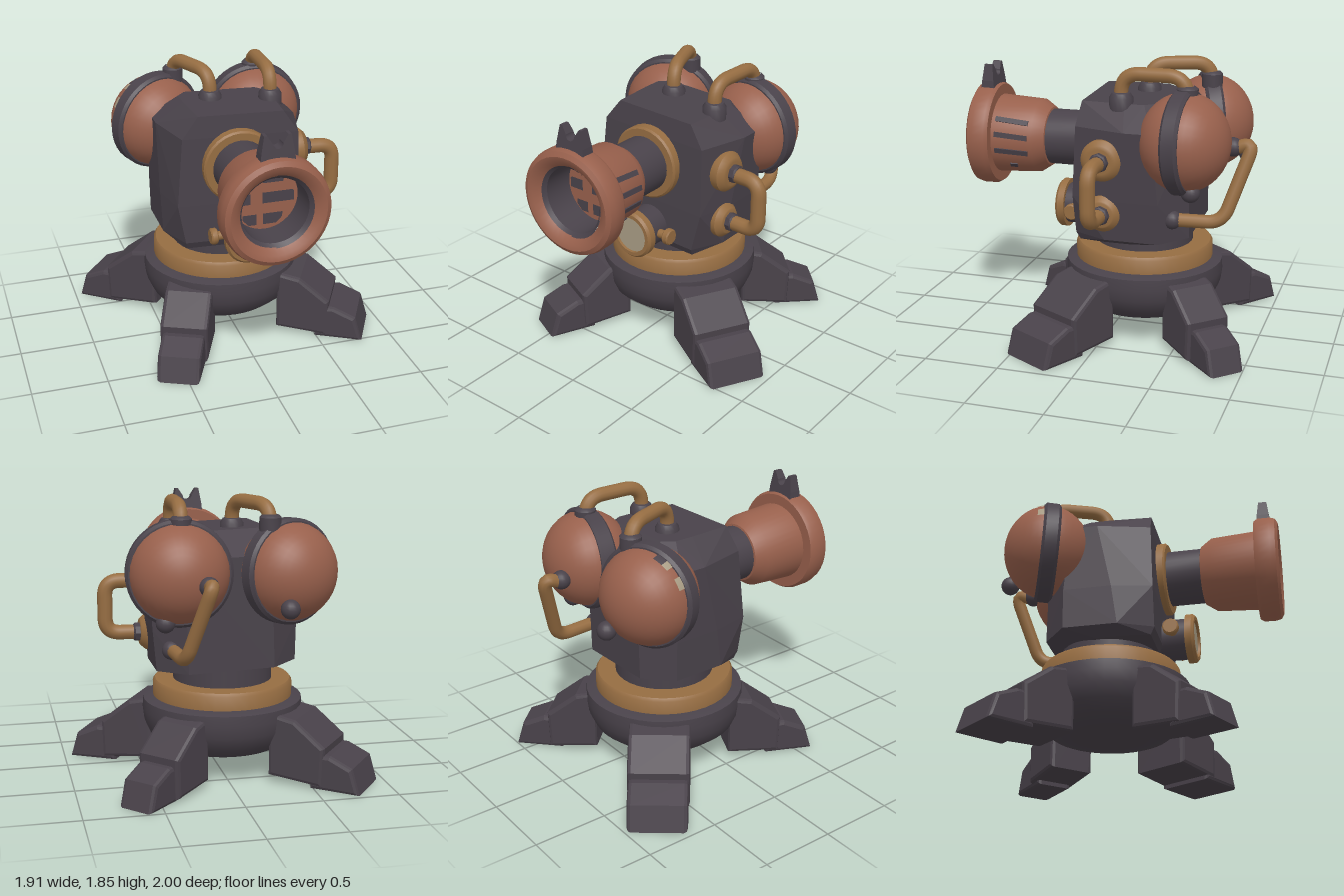
import * as THREE from 'three';
import { toCreasedNormals } from 'three/addons/utils/BufferGeometryUtils.js';
import { ConvexGeometry } from 'three/addons/geometries/ConvexGeometry.js';

const mat = (name, color) => {
  const m = new THREE.MeshStandardMaterial({ color });
  m.name = name;
  return m;
};

export function createModel() {
  const iron = mat('dark iron', 0x49424a);
  const copper = mat('copper', 0x98604c);
  const brass = mat('brass', 0x966d42);
  const cream = mat('cream', 0xa89c84);
  const model = new THREE.Group();
  model.name = 'diveCannonTurret';

  const add = (name, geo, material, pos = [0, 0, 0], parent = model) => {
    const mesh = new THREE.Mesh(geo, material);
    mesh.name = name;
    mesh.position.set(...pos);
    parent.add(mesh);
    return mesh;
  };
  // Turned part from [radius, height] pairs, optionally laid along x or z
  const turned = (pts, axis = 'y', seg = 32) => {
    const g = toCreasedNormals(new THREE.LatheGeometry(pts.map(p => new THREE.Vector2(...p)), seg), 0.7);
    if (axis === 'z') g.rotateX(Math.PI / 2);
    if (axis === 'x') g.rotateZ(-Math.PI / 2);
    return g;
  };
  const disc = (r, a, b, axis, bevel = 0.012, seg = 28) => turned(
    [[0, a], [r - bevel, a], [r, a + bevel], [r, b - bevel], [r - bevel, b], [0, b]], axis, seg);
  // Pipe through corner points with rounded bends
  const pipe = (name, pts, r = 0.045, bend = 0.09) => {
    const v = pts.map(p => new THREE.Vector3(...p));
    const path = new THREE.CurvePath();
    let from = v[0];
    for (let i = 1; i < v.length - 1; i++) {
      const toward = q => v[i].clone().add(q.clone().sub(v[i]).setLength(Math.min(bend, q.distanceTo(v[i]) * 0.48)));
      const a = toward(v[i - 1]), b = toward(v[i + 1]);
      path.add(new THREE.LineCurve3(from, a));
      path.add(new THREE.QuadraticBezierCurve3(a, v[i], b));
      from = b;
    }
    path.add(new THREE.LineCurve3(from, v[v.length - 1]));
    add(name, new THREE.TubeGeometry(path, 56, r, 12), brass);
  };

  // Base bowl, brass ring and neck
  const axis = [-0.035, 0, -0.18];
  add('base', turned([[0, 0.15], [0.25, 0.155], [0.4, 0.18], [0.485, 0.25], [0.525, 0.34], [0.535, 0.42], [0.53, 0.49], [0.46, 0.51], [0, 0.51]], 'y', 40), iron, axis);
  add('baseRing', turned([[0.3, 0.5], [0.465, 0.5], [0.465, 0.6], [0.45, 0.62], [0.3, 0.62]], 'y', 40), brass, axis);
  add('neck', new THREE.CylinderGeometry(0.33, 0.33, 0.18, 32), iron, [axis[0], 0.68, axis[2]]);

  // Legs: an upper block and a toe, each a bevelled side profile ending at x = 0
  const block = (pts, width) => {
    const b = 0.025;
    const g = new THREE.ExtrudeGeometry(new THREE.Shape(pts.map(p => new THREE.Vector2(...p))), {
      depth: width - 2 * b, bevelEnabled: true, bevelSize: b, bevelThickness: b, bevelOffset: -b, bevelSegments: 2 });
    return g.translate(0, 0, -width / 2 + b);
  };
  // [name, toe end x and z, direction x and z, toe width, upper width, inner reach]
  const legs = [
    ['frontLeftLeg', 0.867, 0.36, 0.875, 0.485, 0.395, 0.41, -0.6],
    ['frontRightLeg', -0.572, 0.663, -0.42, 0.907, 0.285, 0.32, -0.6],
    ['backRightLeg', -0.85, -0.838, -0.785, -0.62, 0.385, 0.4, -0.62],
    ['backLeftLeg', 0.674, -0.918, 0.72, -0.69, 0.25, 0.31, -0.58],
  ];
  for (const [name, ex, ez, dx, dz, toeW, upperW, inner] of legs) {
    const leg = new THREE.Group();
    leg.name = name;
    leg.position.set(ex, 0, ez);
    leg.rotation.y = Math.atan2(-dz, dx);
    model.add(leg);
    add('upperLeg', block([[inner, 0.05], [-0.245, 0.02], [-0.235, 0.28], [-0.44, 0.44], [inner, 0.47]], upperW), iron, [0, 0, 0], leg);
    add('toe', block([[-0.33, 0], [0, 0], [-0.05, 0.17], [-0.2, 0.235], [-0.33, 0.235]], toeW), iron, [0, 0, 0], leg);
  }

  // Faceted body: rows of [y, frontX, frontZ, sideX, sideZ1, sideZ2, backX, backZ]
  const rows = [
    [0.7, 0.35, 0.16, 0.37, 0, -0.2, 0.2, -0.32],
    [0.75, 0.36, 0.185, 0.46, -0.04, -0.4, 0.28, -0.56],
    [1.02, 0.42, 0.185, 0.475, -0.08, -0.4, 0.28, -0.56],
    [1.48, 0.395, 0.165, 0.485, -0.18, -0.36, 0.28, -0.56],
    [1.625, 0.29, 0.15, 0.31, -0.14, -0.27, 0.25, -0.34],
  ];
  const corners = [];
  for (const [y, fx, fz, sx, s1, s2, bx, bz] of rows)
    for (const s of [-1, 1])
      for (const [x, z] of [[fx, fz], [sx, s1], [sx, s2], [bx, bz]]) corners.push(new THREE.Vector3(s * x, y, z));
  const body = add('body', new ConvexGeometry(corners), iron, [-0.041, 0, 0]);
  body.rotation.z = -0.035;

  // Cannon along +z
  const cannon = new THREE.Group();
  cannon.name = 'cannon';
  cannon.position.set(-0.01, 1.285, 0);
  model.add(cannon);
  const gun = (name, geo, m, pos) => add(name, geo, m, pos, cannon);
  gun('collar', disc(0.248, 0.14, 0.23, 'z'), brass);
  gun('barrel', disc(0.187, 0.2, 0.5, 'z'), iron);
  gun('muzzle', turned([[0.18, 0.46], [0.2, 0.465], [0.25, 0.54], [0.267, 0.84]], 'z', 40), copper);
  const rim = gun('muzzleRim', turned([[0.25, -0.075], [0.335, -0.075], [0.35, -0.05], [0.35, 0.03], [0.34, 0.065],
    [0.31, 0.083], [0.275, 0.075], [0.235, 0.035]], 'z', 40), copper, [0, 0, 0.905]);
  rim.rotation.y = 0.04;
  gun('bore', turned([[0.24, 0.945], [0.215, 0.92], [0.212, 0.7]], 'z', 40), iron);
  gun('grille', new THREE.CircleGeometry(0.215, 32), copper, [0, 0, 0.72]);
  // Grille slots: [centre x, centre y, width], outer corners cut toward the round edge
  for (const [x, y, w] of [[-0.145, 0, 0.1], [0.085, 0, 0.205], [-0.105, 0.135, 0.085], [0.05, 0.135, 0.135], [-0.1, -0.142, 0.09], [0.05, -0.142, 0.125]]) {
    const cut = y ? 0.04 : 0.012, s = Math.sign(x), t = Math.sign(y) || 1, h = 0.036;
    const slot = new THREE.Shape([[-s * w / 2, -t * h], [s * w / 2, -t * h], [s * w / 2, t * (h - cut)],
      [s * (w / 2 - cut), t * h], [-s * w / 2, t * h]].map(p => new THREE.Vector2(...p)));
    gun('grilleSlot', new THREE.ShapeGeometry(slot), iron, [x, y, 0.724]);
  }
  // Vent slots on the model's left of the muzzle
  [0.55, 0.15, -0.27, -0.72].forEach((a, i) => {
    const holder = new THREE.Group();
    holder.name = 'ventSlot';
    holder.rotation.z = a;
    cannon.add(holder);
    const slot = add('slot', new THREE.BoxGeometry(0.009, 0.034, i === 3 ? 0.05 : 0.23), iron, [0.261, 0, 0.68], holder);
    slot.rotation.set(-0.07, 0.057, 0);
  });
  // Notched sight on the muzzle rim
  const sight = new THREE.Shape([[-0.11, 0], [0.11, 0], [0.105, 0.06], [0.085, 0.17], [0.065, 0.17], [0.033, 0.12]].map(p => new THREE.Vector2(...p)));
  sight.absarc(0, 0.12, 0.033, 0, -Math.PI, true);
  sight.lineTo(-0.065, 0.17);
  sight.lineTo(-0.085, 0.17);
  sight.lineTo(-0.105, 0.06);
  const sightGeo = new THREE.ExtrudeGeometry(sight, { depth: 0.095, bevelEnabled: false });
  const sp = sightGeo.attributes.position;
  // Taper the prongs toward their tips
  for (let i = 0; i < sp.count; i++) sp.setZ(i, 0.045 + (sp.getZ(i) - 0.045) * (1 - 2.4 * sp.getY(i)));
  sightGeo.computeVertexNormals();
  gun('sight', sightGeo, iron, [0.005, 0.315, 0.845]);

  // Porthole gauge with side knobs
  const gauge = [0.005, 0.828, 0];
  add('gaugeHousing', disc(0.138, 0.1, 0.35, 'z'), iron, gauge);
  add('gaugeRing', turned([[0.1, 0.34], [0.165, 0.34], [0.165, 0.385], [0.15, 0.402], [0.125, 0.402], [0.122, 0.37]], 'z'), brass, gauge);
  add('gaugeGlass', new THREE.CircleGeometry(0.126, 28), cream, [0.005, 0.828, 0.385]);
  for (const s of [-1, 1]) {
    add('knobStem', disc(0.03, -0.06, 0.06, 'x', 0.005, 12), brass, [0.005 + s * 0.16, 0.828, 0.26]);
    add('knob', disc(0.055, -0.024, 0.024, 'x', 0.008, 12), brass, [0.005 + s * 0.212, 0.828, 0.26]);
  }

  // Side handle pipe with flanges
  for (const [y, r, x] of [[1.27, 0.135, 0.47], [0.915, 0.12, 0.45]]) {
    add('flange', turned([[0, -0.08], [r - 0.02, -0.08], [r, -0.05], [r, 0.01], [r - 0.03, 0.045], [0.08, 0.05], [0, 0.04]], 'x'), brass, [x, y, -0.03]);
    add('flangeNut', disc(0.062, 0.02, 0.09, 'x', 0.01, 8), iron, [x, y, -0.03]);
  }
  pipe('sidePipe', [[0.48, 1.265, -0.03], [0.725, 1.265, -0.02], [0.725, 0.915, -0.02], [0.48, 0.915, -0.03]], 0.05, 0.1);

  // Twin tanks with bands
  const sphere = (r, ...arc) => new THREE.SphereGeometry(r, 32, 20, ...arc).rotateX(Math.PI / 2).scale(1, 1, 0.92);
  const tank = (name, pos, turn, tilt) => {
    const g = new THREE.Group();
    g.name = name;
    g.position.set(...pos);
    g.rotation.set(tilt, turn, 0, 'YXZ');
    model.add(g);
    add('tankShell', sphere(0.318), copper, [0, 0, 0], g);
    add('tankBand', disc(0.338, -0.058, 0.058, 'z', 0.018, 40), iron, [0, 0, 0], g);
    return g;
  };
  const rightTank = tank('rightTank', [-0.385, 1.38, -0.545], 0.37, 0.05);
  tank('leftTank', [0.32, 1.39, -0.535], -0.1, 0.03);
  // Worn paint behind the band: [material, start, length, depth]
  for (const [m, start, length, depth] of [[iron, 1.6, 0.07, 0.24], [cream, 1.67, 0.05, 0.24], [cream, 1.79, 0.08, 0.22]])
    add('wornPatch', sphere(0.322, Math.PI * start, Math.PI * length, Math.PI * 0.54, depth), m, [0, 0, 0], rightTank);

  // Top pipes from tanks to body, with end caps
  const cap = turned([[0.078, -0.06], [0.078, 0.02], [0.06, 0.05], [0.045, 0.055]], 'y', 16);
  const tankCap = turned([[0.07, -0.07], [0.07, 0.02], [0.055, 0.035], [0.04, 0.04]], 'y', 16);
  for (const [x1, z1, x2, z2] of [[-0.25, -0.58, -0.095, -0.19], [0.31, -0.545, 0.3, -0.11]]) {
    pipe('topPipe', [[x1, 1.5, z1], [x1, 1.805, z1], [x2, 1.805, z2], [x2, 1.5, z2]], 0.046, 0.13);
    add('tankCap', tankCap, iron, [x1, 1.71, z1]);
    add('bodyCap', cap, iron, [x2, 1.63, z2]);
  }

  // Rear pipe and round tank studs
  pipe('rearPipe', [[0.19, 1.33, -0.8], [0.19, 1.39, -0.955], [0.33, 0.885, -0.79], [0.36, 0.885, -0.42]], 0.044, 0.1);
  const stud = new THREE.SphereGeometry(0.062, 16, 12);
  for (const p of [[0.19, 1.35, -0.82], [0.36, 0.885, -0.47], [-0.32, 1.19, -0.82], [0.42, 1.09, -0.6]]) add('stud', stud, iron, p);

  return model;
}
